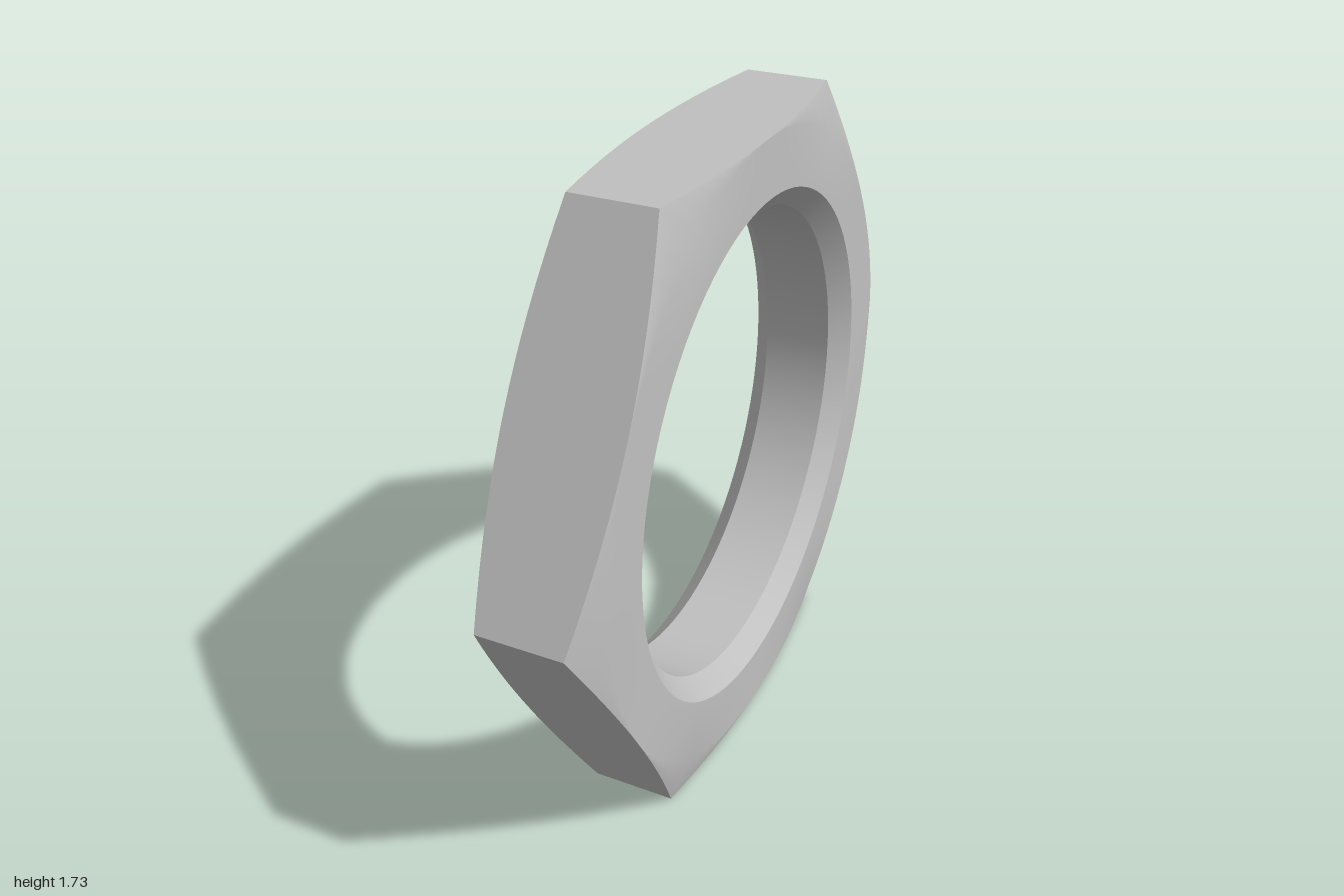
import * as THREE from 'three';

const SIDES = 6, PER_SIDE = 16, N = SIDES * PER_SIDE;
const APOTHEM = Math.sqrt(3) / 2;   // centre to flat; corners lie at radius 1
const HALF = 0.155;                 // half thickness
const BORE = 0.65, MOUTH = 0.705;   // hole radius inside and at the faces
const BORE_HALF = HALF - (MOUTH - BORE);

// A ring is a function of the step index giving [x, radius]
const circle = (x, r) => () => [x, r];

// Hexagon outline, its edge cut back by the conical corner chamfer
const hexagon = (side) => (i) => {
  const r = APOTHEM / Math.cos(((i % PER_SIDE) / PER_SIDE - 0.5) * Math.PI / 3);
  return [side * (HALF - 0.3 * (r - APOTHEM)), r];
};

// Closed band of quads through a list of rings around the x axis
function band(rings, flat = false) {
  const pos = [], index = [];
  rings.forEach((ring, k) => {
    for (let i = 0; i < N; i++) {
      const a = (i / N) * Math.PI * 2, [x, r] = ring(i);
      pos.push(x, APOTHEM + r * Math.sin(a), r * Math.cos(a));
      if (k === rings.length - 1) continue;
      const j = (i + 1) % N, p = k * N, q = p + N;
      index.push(p + i, p + j, q + i, p + j, q + j, q + i);
    }
  });
  let geo = new THREE.BufferGeometry();
  geo.setAttribute('position', new THREE.Float32BufferAttribute(pos, 3));
  geo.setIndex(index);
  if (flat) geo = geo.toNonIndexed();
  geo.computeVertexNormals();
  return geo;
}

export function createModel() {
  const nut = new THREE.Group();
  nut.name = 'hexNut';
  const steel = new THREE.MeshStandardMaterial({ color: 0xc0c0c0 });
  steel.name = 'steel';

  const add = (name, rings, flat) => {
    const mesh = new THREE.Mesh(band(rings, flat), steel);
    mesh.name = name;
    nut.add(mesh);
  };

  // Hole wall and the six outer flats
  add('bore', [circle(-BORE_HALF, BORE), circle(BORE_HALF, BORE)]);
  add('outerFlats', [hexagon(1), hexagon(-1)], true);

  // Hole chamfer and face on each side
  for (const [side, label] of [[1, 'left'], [-1, 'right']]) {
    const order = (rings) => (side > 0 ? rings : rings.reverse());
    add(label + 'HoleChamfer', order([circle(side * BORE_HALF, BORE), circle(side * HALF, MOUTH)]));
    add(label + 'Face', order([circle(side * HALF, MOUTH), circle(side * HALF, APOTHEM), hexagon(side)]));
  }
  return nut;
}
